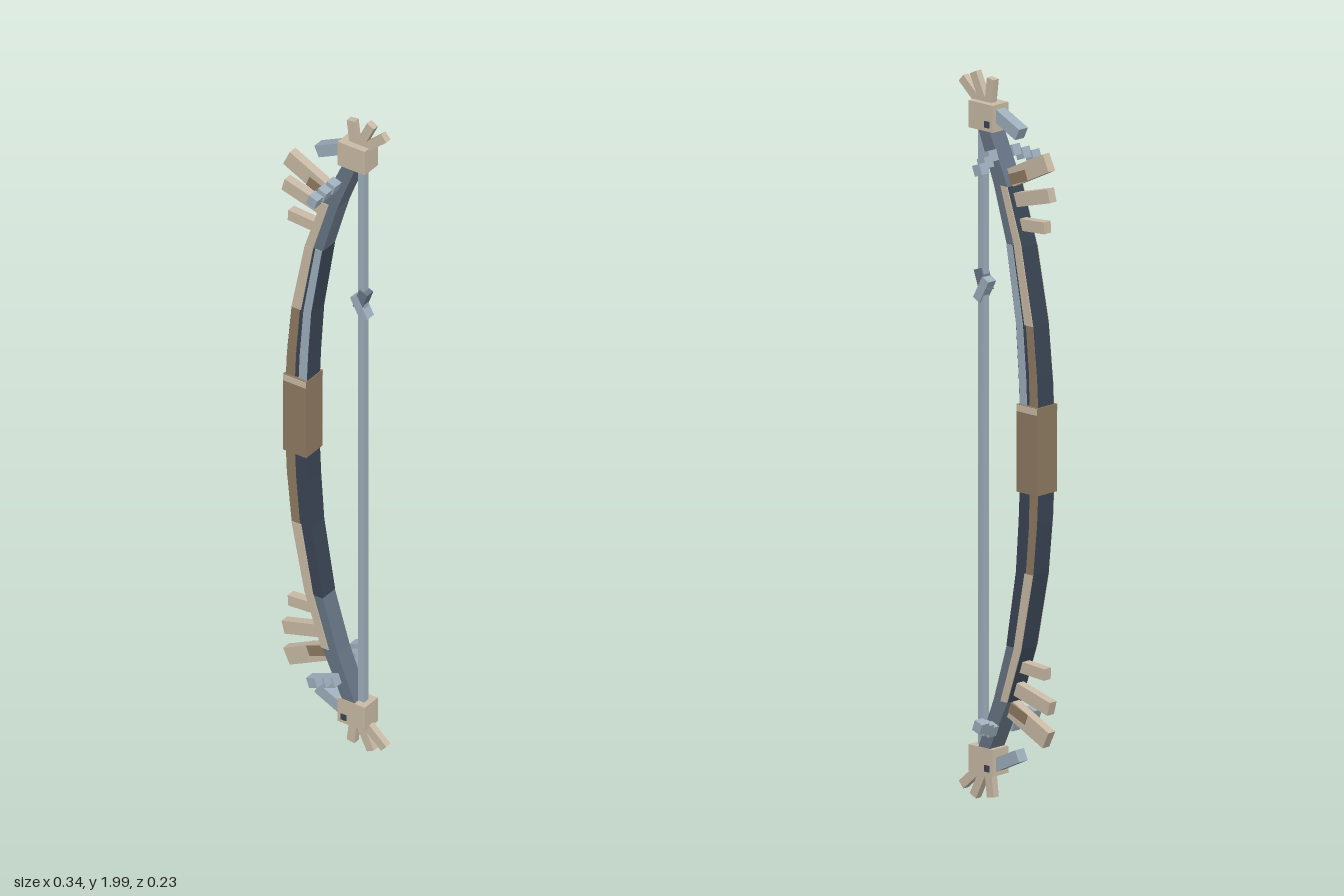
import * as THREE from 'three';

const make = (name, color) => {
  const m = new THREE.MeshStandardMaterial({ color });
  m.name = name;
  return m;
};

export function createModel() {
  const tan = make('pale bone', 0xcabba6);
  const brown = make('brown leather', 0x8f7b62);
  const blue = make('pale blue', 0x9fb0be);
  const slate = make('slate', 0x687585);
  const navy = make('dark navy', 0x3a4655);

  const bow = new THREE.Group();
  bow.name = 'bow';
  const MID = 1.003;

  const box = (parent, name, mat, [w, h, d], [x, y, z], tilt = 0) => {
    const m = new THREE.Mesh(new THREE.BoxGeometry(w, h, d), mat);
    m.name = name;
    m.position.set(x, y, z);
    m.rotation.z = tilt;
    parent.add(m);
    return m;
  };

  // Flat bar running between two points in the xy plane
  const bar = (parent, name, mat, [x0, y0], [x1, y1], width, depth) =>
    box(parent, name, mat, [Math.hypot(x1 - x0, y1 - y0), width, depth],
      [(x0 + x1) / 2, (y0 + y1) / 2, 0], Math.atan2(y1 - y0, x1 - x0));

  // Limb outline, as heights above the middle: [outer x, inner x, y]
  const limb = [
    [-0.146, -0.077, 0.09], [-0.141, -0.072, 0.2], [-0.127, -0.062, 0.34],
    [-0.084, -0.027, 0.55], [-0.032, 0.02, 0.705], [0.04, 0.082, 0.86],
  ];

  // Slab along part of the limb, covering a fraction a..b from outer to inner edge
  const strip = (parent, name, mat, side, from, to, a, b, depth) => {
    const rows = limb.slice(from, to + 1);
    const at = ([o, i, y], t) => new THREE.Vector2(o + (i - o) * t, y * side);
    const pts = [...rows.map(r => at(r, a)), ...rows.map(r => at(r, b)).reverse()];
    const geo = new THREE.ExtrudeGeometry(new THREE.Shape(pts), { depth, bevelEnabled: false });
    const m = new THREE.Mesh(geo.translate(0, 0, -depth / 2), mat);
    m.name = name;
    parent.add(m);
  };

  for (const side of [1, -1]) {
    const g = new THREE.Group();
    g.name = side > 0 ? 'upperLimb' : 'lowerLimb';
    g.position.y = MID;
    bow.add(g);

    // Dark core with layered side strips
    strip(g, 'limbCore', navy, side, 0, 3, 0, 1, 0.058);
    strip(g, 'limbTipCore', slate, side, 3, 5, 0.04, 1, 0.056);
    strip(g, 'limbBack', navy, side, 3, 4, 0, 0.06, 0.056);
    strip(g, 'gripEndStrip', brown, side, 0, 1, 0.02, 0.42, 0.064);
    strip(g, 'gripEndStrip', brown, side, 1, 2, 0.02, 0.42, 0.061);
    strip(g, 'outerStrip', tan, side, 2, 3, 0.02, 0.48, 0.064);
    strip(g, 'outerTipStrip', tan, side, 3, 4, 0.02, 0.48, 0.062);
    if (side > 0) strip(g, 'innerStrip', blue, side, 0, 3, 0.6, 0.97, 0.061);

    // Tip block with its pin
    const s = ([x, y]) => [x, y * side];
    box(g, 'tipBlock', tan, [0.088, 0.074, 0.06], [0.066, 0.881 * side, 0]);
    box(g, 'tipPin', navy, [0.018, 0.018, 0.004], [0.042, 0.881 * side - 0.018, -0.03]);
    if (side < 0) box(g, 'tipPin', navy, [0.018, 0.018, 0.004], [0.042, -0.899, 0.03]);

    // Thin spikes fanning out of the tip
    for (const end of [[0.05, 0.983], [0.114, 0.99], [0.157, 0.967]])
      bar(g, 'tipSpike', tan, s([0.062, 0.885]), s(end), 0.025, 0.02);
    bar(g, 'tipBarb', blue, s([0.035, 0.893]), s([-0.055, 0.85]), 0.034, 0.034);

    // Fins on the back of the limb
    const fins = [
      [[-0.025, 0.727], [-0.155, 0.79], 0.05],
      [[-0.04, 0.668], [-0.166, 0.702], 0.038],
      [[-0.06, 0.605], [-0.15, 0.611], 0.032],
    ];
    for (const [a, b, w] of fins) bar(g, 'backFin', tan, s(a), s(b), w, 0.026);
    bar(g, 'finRoot', brown, s([-0.025, 0.722]), s([-0.085, 0.745]), 0.03, 0.03);

    // Stepped side horns
    for (const dir of [1, -1])
      for (let i = 0; i < 3; i++)
        box(g, 'sideHorn', blue, [0.028, 0.03, 0.03],
          [0.017 - i * 0.0095, (0.784 - i * 0.011) * side, dir * (0.045 + i * 0.0275)], -0.35 * side);
  }

  // Grip with a pale upper edge
  box(bow, 'grip', brown, [0.075, 0.24, 0.076], [-0.111, 1.005, 0]);
  for (const dir of [1, -1])
    box(bow, 'gripEdge', tan, [0.073, 0.018, 0.004], [-0.111, 1.115, dir * 0.038]);

  // String and its nocking knot
  box(bow, 'string', blue, [0.02, 1.7, 0.02], [0.084, MID, 0]);
  box(bow, 'knotUpper', slate, [0.028, 0.062, 0.028], [0.083, 1.43, 0], -0.35);
  box(bow, 'knotLower', blue, [0.026, 0.07, 0.03], [0.08, 1.405, 0], 0.5);

  return bow;
}
